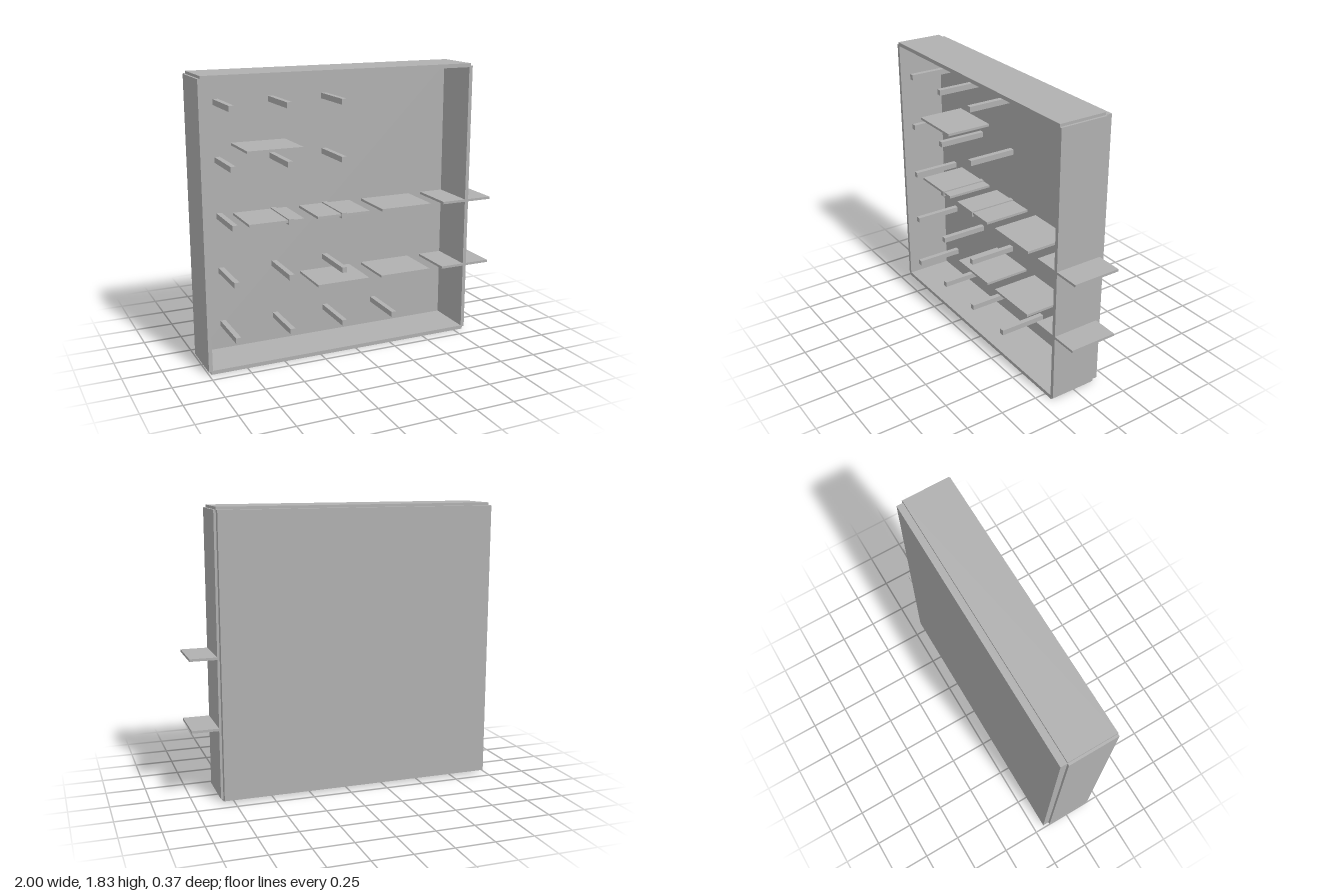
import * as THREE from 'three';

export function createModel() {
  const group = new THREE.Group();
  const grey = new THREE.MeshStandardMaterial({ color: 0xb0b0b0 });
  grey.name = 'plain grey';

  // Box given by its limits on each axis
  function box(name, [x0, x1], [y0, y1], [z0, z1]) {
    const mesh = new THREE.Mesh(new THREE.BoxGeometry(x1 - x0, y1 - y0, z1 - z0), grey);
    mesh.name = name;
    mesh.position.set((x0 + x1) / 2, (y0 + y1) / 2, (z0 + z1) / 2);
    group.add(mesh);
  }
  const around = (centre, size) => [centre - size / 2, centre + size / 2];

  const depth = [-0.141, 0.175];
  const spanX = [-0.985, 0.815];
  const spanY = [0.017, 1.817];
  const board = 0.025;

  // Shallow open-fronted case
  box('backPanel', spanX, spanY, [-0.184, -0.141]);
  box('rightSide', [-1, -1 + board], spanY, depth);
  box('leftSide', [0.83 - board, 0.83], spanY, depth);
  box('bottomBoard', spanX, [0, board], depth);
  box('topBoard', spanX, [1.834 - board, 1.834], depth);

  // Shelves: height, then centres along x
  const shelves = [
    [1.37, [-0.535]],
    [0.92, [-0.535, -0.085, 0.365, 0.82]],
    [0.47, [-0.085, 0.365, 0.82]],
  ];
  for (const [y, centres] of shelves) {
    for (const x of centres) box('shelf', around(x, 0.36), around(y, 0.016), depth);
  }

  // Square pegs on a regular grid, with one extra in the lowest row
  for (let row = 0; row < 5; row++) {
    const count = row === 0 ? 4 : 3;
    for (let col = 0; col < count; col++) {
      box('peg', around(-0.806 + col * 0.36, 0.034), around(0.198 + row * 0.36, 0.036), [-0.141, 0.184]);
    }
  }

  return group;
}
